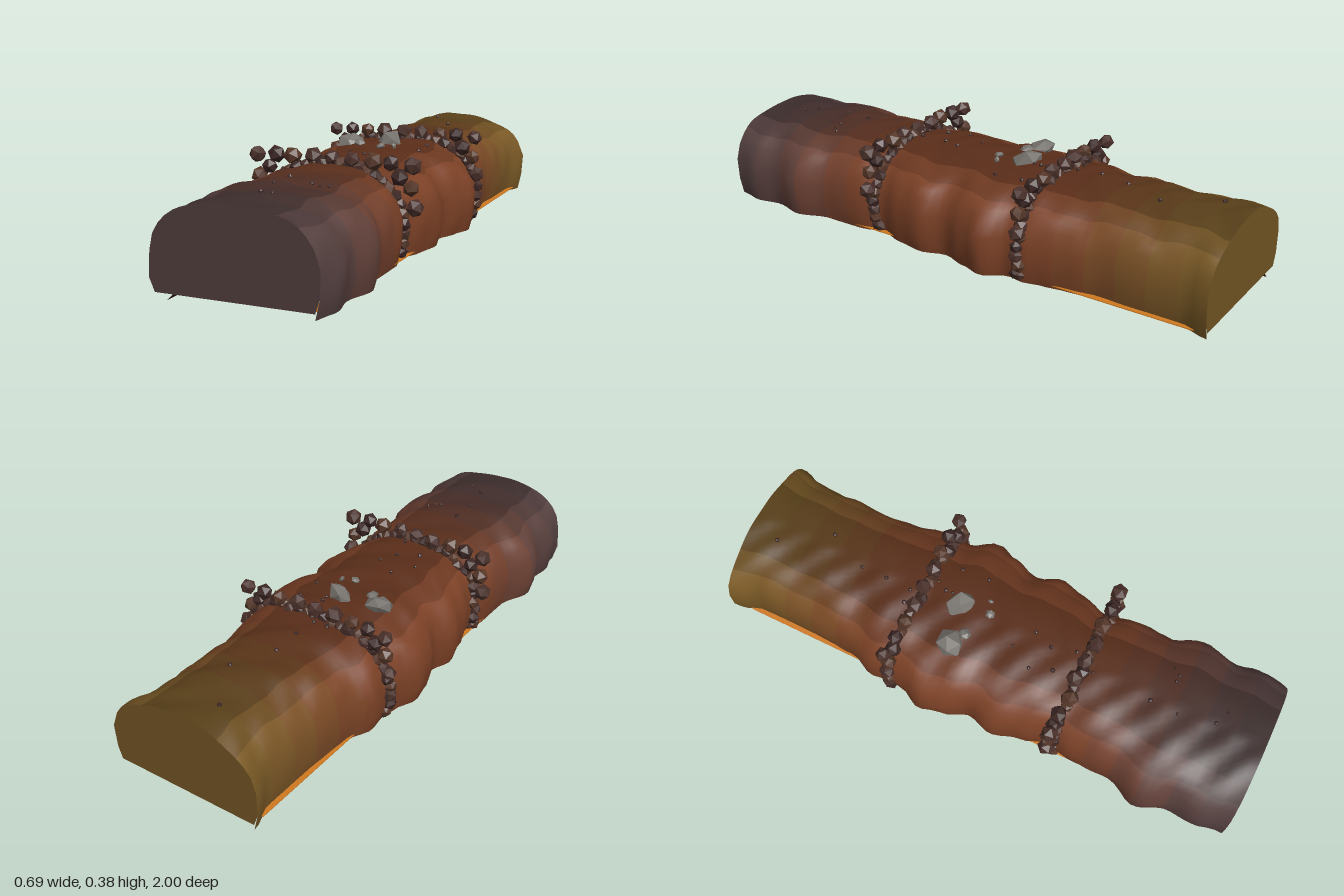
import * as THREE from 'three';

// Half widths of the tunnel body along z (back to front), right and left sides
const Z = [-1, -0.9, -0.7, -0.6, -0.5, -0.4, -0.33, -0.27, -0.18, -0.1, 0, 0.09, 0.2, 0.3, 0.4, 0.55, 0.68, 0.8, 0.9, 0.98, 1];
const WR = [0.29, 0.26, 0.26, 0.255, 0.27, 0.285, 0.3, 0.29, 0.34, 0.315, 0.28, 0.31, 0.29, 0.255, 0.28, 0.28, 0.32, 0.29, 0.31, 0.29, 0.285];
const WL = [0.29, 0.26, 0.26, 0.265, 0.27, 0.31, 0.3, 0.31, 0.345, 0.33, 0.29, 0.32, 0.29, 0.26, 0.28, 0.28, 0.33, 0.29, 0.3, 0.28, 0.28];

// Half of the arch outline: x as a share of the half width, y in units
const arch = new THREE.SplineCurve([
  [0.94, 0.02], [1, 0.09], [1, 0.165], [0.93, 0.225], [0.8, 0.27], [0.6, 0.304], [0.33, 0.325], [0, 0.332],
].map(p => new THREE.Vector2(...p))).getSpacedPoints(14);

let seed = 7;
const rand = (a = 0, b = 1) => {
  seed = (seed * 16807) % 2147483647;
  return a + (b - a) * seed / 2147483647;
};

function widthAt(z, side) {
  let i = 0;
  while (i < Z.length - 2 && z > Z[i + 1]) i++;
  const t = THREE.MathUtils.smoothstep(z, Z[i], Z[i + 1]);
  const W = side > 0 ? WR : WL;
  return W[i] + (W[i + 1] - W[i]) * t;
}

// Outer outline at z, from the right foot over the top to the left foot
function outline(z) {
  const point = (p, s) => {
    const y = p.y + (p.y > 0.2 ? 0.005 * Math.sin(z * 23 + p.x * 5 * s) + 0.003 * Math.sin(z * 51 + p.x * 9) : 0);
    const ripple = 1 + 0.012 * Math.sin(z * 37 + p.y * 40 + s) * Math.min(1, p.y * 8);
    return new THREE.Vector3(s * p.x * widthAt(z, s) * ripple, y, z);
  };
  return [...arch.map(p => point(p, 1)), ...arch.slice(0, -1).reverse().map(p => point(p, -1))];
}

// Skin over a list of equal cross-sections, with a material chosen per quad
function skin(sections, materials, pick) {
  const n = sections[0].length;
  const buckets = materials.map(() => []);
  for (let i = 0; i < sections.length - 1; i++) {
    for (let j = 0; j < n - 1; j++) {
      const a = i * n + j, b = a + n;
      buckets[pick(i, j)].push(a, a + 1, b, a + 1, b + 1, b);
    }
  }
  const g = new THREE.BufferGeometry().setFromPoints(sections.flat());
  g.setIndex(buckets.flat());
  let start = 0;
  buckets.forEach((b, m) => { g.addGroup(start, b.length, m); start += b.length; });
  g.computeVertexNormals();
  return new THREE.Mesh(g, materials);
}

const paint = (color, extra = {}) => new THREE.MeshStandardMaterial({ color, ...extra });

// Earth colour along z: ochre at the back, rust in the middle, grey brown in front
function earth(z, shade) {
  const back = new THREE.Color(0x7a5a26), mid = new THREE.Color(0x7c4126), front = new THREE.Color(0x54403f);
  const c = z < 0 ? mid.lerp(back, THREE.MathUtils.smoothstep(-z, 0.35, 1)) : mid.lerp(front, THREE.MathUtils.smoothstep(z, 0.3, 0.95));
  return c.multiplyScalar(shade);
}

export function createModel() {
  const model = new THREE.Group();
  const add = (name, mesh, parent = model) => { mesh.name = name; parent.add(mesh); return mesh; };
  const group = name => add(name, new THREE.Group());

  // Tunnel body in colour bands, lighter on the sides than on top
  const rows = 72, bands = 18;
  const zs = Array.from({ length: rows + 1 }, (_, i) => -1 + 2 * i / rows);
  const sections = zs.map(outline);
  const mats = [];
  for (let b = 0; b < bands; b++) {
    const z = -1 + 2 * (b + 0.5) / bands;
    mats.push(paint(earth(z, 1)), paint(earth(z, 0.75)), paint(earth(z, 0.5)));
  }
  add('tunnelShell', skin(sections, mats, (i, j) => {
    const fromFoot = Math.min(j, 27 - j);
    return Math.floor(i * bands / rows) * 3 + (fromFoot < 5 ? 0 : fromFoot < 8 ? 1 : 2);
  }));

  // Underside: raised floor between two lower rims
  const underside = zs.map(z => {
    const r = widthAt(z, 1) * 0.94, l = -widthAt(z, -1) * 0.94;
    return [[l, 0.02], [-0.22, 0.02], [-0.2, 0.04], [0.2, 0.04], [0.22, 0.02], [r, 0.02]]
      .map(([x, y]) => new THREE.Vector3(x, y, z));
  });
  add('underside', skin(underside, [paint(0x4a2a1c, { flatShading: true }), paint(0x33211a, { flatShading: true })],
    (i, j) => (j === 2 ? 1 : 0)));

  // End walls
  for (const s of [1, -1]) {
    const ring = outline(s).map(p => new THREE.Vector3(p.x, Math.max(p.y, 0.04), s));
    const index = [];
    for (let i = 0; i < ring.length; i++) {
      const a = i + 1, b = (i + 1) % ring.length + 1;
      index.push(0, ...(s > 0 ? [a, b] : [b, a]));
    }
    const g = new THREE.BufferGeometry().setFromPoints([new THREE.Vector3(0, 0.13, s), ...ring]);
    g.setIndex(index);
    g.computeVertexNormals();
    add(s > 0 ? 'frontWall' : 'backWall', new THREE.Mesh(g, paint(earth(s, 0.85))));
  }

  // Boulder arches
  const rockMats = [0x4a302a, 0x3c2724, 0x553628].map(c => paint(c, { flatShading: true }));
  const ico = new THREE.IcosahedronGeometry(1, 0);
  const rock = (parent, name, x, y, z, r, mat) => {
    const m = add(name, new THREE.Mesh(ico, mat), parent);
    m.position.set(x, y, z);
    m.rotation.set(rand(0, 6), rand(0, 6), rand(0, 6));
    m.scale.setScalar(r);
    return m;
  };
  for (const z of [0.32, -0.32]) {
    const ring = group('boulderArch');
    const path = new THREE.CatmullRomCurve3(outline(z));
    for (let i = 0; i <= 30; i++) {
      const p = path.getPointAt(i / 30);
      rock(ring, 'boulder', p.x, Math.max(p.y, 0.05), z + rand(-0.01, 0.01), rand(0.022, 0.03), rockMats[i % 3]);
    }
    for (const s of [1, -1]) {
      [[0.29, 0.345], [0.215, 0.35], [0.148, 0.35], [0.075, 0.352], [0.245, 0.305], [0.285, 0.27], [0.3, 0.205]]
        .forEach(([x, y], i) => rock(ring, 'boulder', s * x, y, z + rand(-0.008, 0.008), rand(0.028, 0.034), rockMats[i % 3]));
    }
    rock(ring, 'boulder', 0, 0.352, z, 0.03, rockMats[0]);
  }

  // Grey stones and small pebbles on the roof
  const stones = group('roofStones');
  const grey = paint(0x77736e, { flatShading: true });
  [[-0.14, 0.325, -0.14, 0.055], [0, 0.325, -0.17, 0.062], [-0.09, 0.332, -0.11, 0.025], [0.015, 0.335, -0.06, 0.018], [0.06, 0.335, -0.08, 0.012]]
    .forEach(([x, y, z, r]) => { rock(stones, 'stone', x, y, z, r, grey).scale.y = r * 0.6; });
  const pebbles = group('pebbles');
  for (let i = 0; i < 26; i++) {
    const z = rand(-0.93, 0.93), p = outline(z)[9 + Math.floor(rand(0, 10))];
    rock(pebbles, 'pebble', p.x, p.y + 0.002, z, rand(0.006, 0.01), rockMats[1]);
  }

  // Glowing edge strips and patches under the floor
  const orange = paint(0xd07a20);
  const slab = (parent, name, w, h, d, x, y, z, mat) =>
    add(name, new THREE.Mesh(new THREE.BoxGeometry(w, h, d), mat), parent).position.set(x, y, z);
  const strips = group('orangeStrips');
  for (const s of [1, -1]) {
    slab(strips, 'edgeStrip', 0.045, 0.003, 1.9, s * 0.243, 0.031, 0, orange);
    for (const z of [-0.93, -0.31, 0.31]) slab(strips, 'floorPatch', 0.08, 0.003, 0.06, s * 0.15, 0.032, z, paint(0x9a5a20));
  }

  // Dashed centre line, round ring and hanging spikes below
  const below = group('floorDetails');
  const dash = paint(0x4d3a30);
  for (let i = 0; i < 20; i++) slab(below, 'dash', 0.05, 0.004, 0.04, 0, 0.039, 0.9 - i * 0.073, dash);
  const ringMesh = add('floorRing', new THREE.Mesh(new THREE.TorusGeometry(0.09, 0.006, 6, 24), rockMats[1]), below);
  ringMesh.rotation.x = Math.PI / 2;
  ringMesh.position.set(0, 0.038, -0.75);
  for (let i = -3; i <= 3; i++) {
    const h = i ? 0.014 : 0.04;
    const spike = add('spike', new THREE.Mesh(new THREE.ConeGeometry(0.003, h, 5), rockMats[1]), below);
    spike.rotation.x = Math.PI;
    spike.position.set(i * 0.018, 0.04 - h / 2, rand(-0.04, 0.04));
  }
  rock(below, 'floorStone', 0, 0.04, 0, 0.025, grey).scale.y = 0.01;
  for (const s of [1, -1]) rock(below, 'floorStone', s * 0.14, 0.042, s * 0.3, 0.02, rockMats[2]);

  return model;
}
